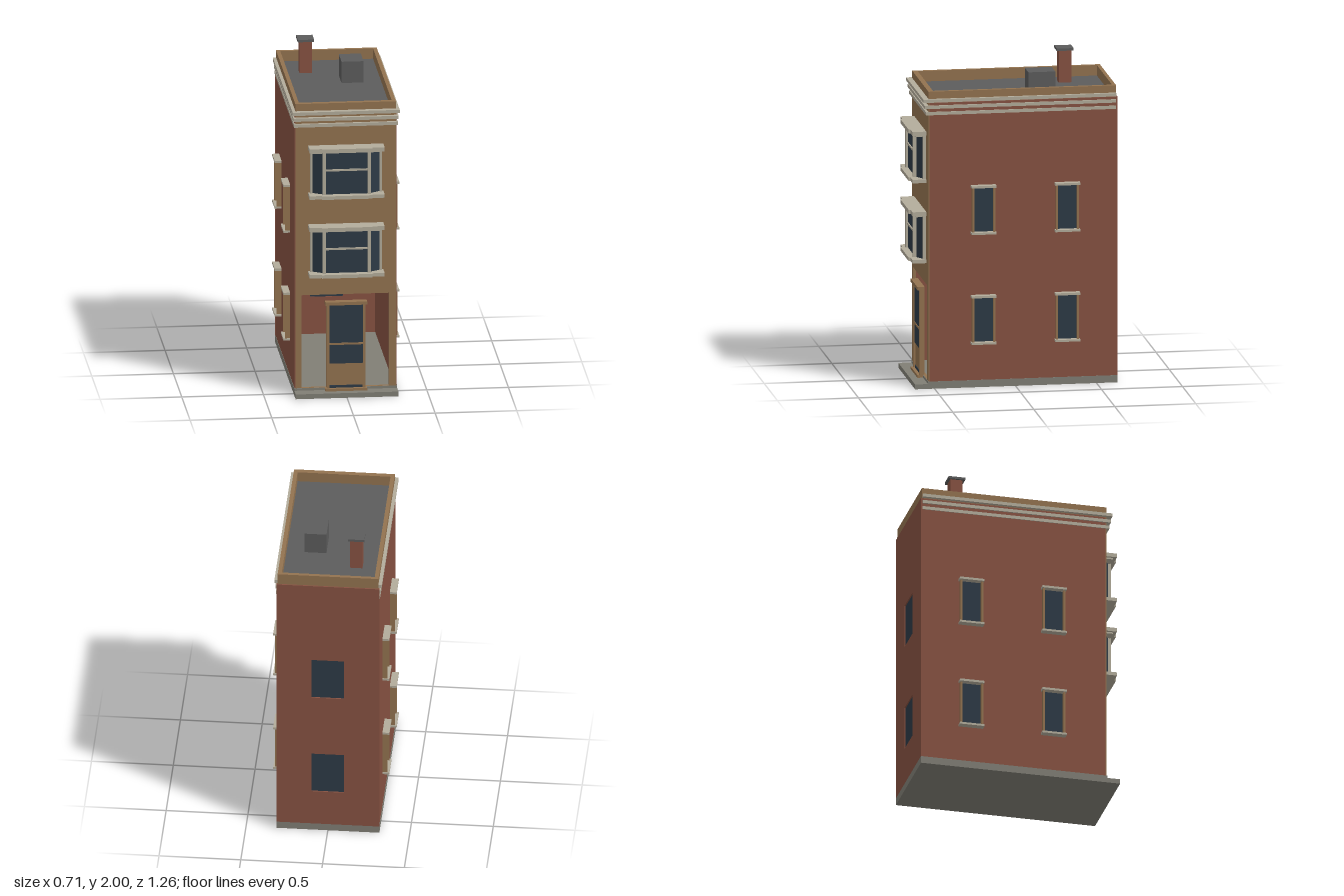
import * as THREE from 'three';

const mat = (name, color, side = THREE.FrontSide) => {
  const m = new THREE.MeshStandardMaterial({ color, side });
  m.name = name;
  return m;
};

export function createModel() {
  const brick = mat('red brick', 0x875242);
  const tan = mat('tan stone', 0x937350);
  const trim = mat('pale trim', 0xb3ac9b);
  const glass = mat('dark glass', 0x2d3a46, THREE.DoubleSide);
  const slate = mat('roof grey', 0x5c5c5c);
  const concrete = mat('concrete', 0x807e75);

  const house = new THREE.Group();
  house.name = 'townHouse';

  const group = (name, parent = house) => {
    const g = new THREE.Group();
    g.name = name;
    parent.add(g);
    return g;
  };
  // Box given by its minimum and maximum on each axis
  const box = (name, m, [x0, x1], [y0, y1], [z0, z1], parent = house) => {
    const mesh = new THREE.Mesh(new THREE.BoxGeometry(x1 - x0, y1 - y0, z1 - z0), m);
    mesh.position.set((x0 + x1) / 2, (y0 + y1) / 2, (z0 + z1) / 2);
    mesh.name = name;
    parent.add(mesh);
    return mesh;
  };
  // Upright wall with rectangular holes, each [x0, x1, y0, y1]
  const rect = (P, x0, x1, y0, y1) => {
    const p = new P();
    p.moveTo(x0, y0);
    p.lineTo(x1, y0);
    p.lineTo(x1, y1);
    p.lineTo(x0, y1);
    p.closePath();
    return p;
  };
  const wall = (name, m, outline, holes, z, depth) => {
    const shape = rect(THREE.Shape, ...outline);
    shape.holes = holes.map((h) => rect(THREE.Path, ...h));
    const geo = new THREE.ExtrudeGeometry(shape, { depth, bevelEnabled: false });
    const mesh = new THREE.Mesh(geo, m);
    mesh.position.z = z;
    mesh.name = name;
    house.add(mesh);
  };

  // Foundation and front step
  box('foundation', concrete, [-0.315, 0.315], [0, 0.045], [-0.63, 0.54]);
  box('frontStep', concrete, [-0.315, 0.315], [0, 0.03], [0.54, 0.62]);

  // Hollow shell: front wall with porch and bay openings, rear wall, side walls
  const bayBases = [0.765, 1.265];
  const floorSills = [0.28, 0.965];
  wall('frontWall', tan, [-0.307, 0.307, 0.045, 1.78],
    [[-0.27, 0.265, 0.046, 0.635], ...bayBases.map((y) => [-0.2, 0.2, y + 0.02, y + 0.29])], 0.517, 0.02);
  wall('rearWall', brick, [-0.315, 0.315, 0.045, 1.78],
    floorSills.map((y) => [-0.1, 0.1, y, y + 0.275]), -0.63, 0.02);
  for (const y of floorSills) {
    box('rearWindow', glass, [-0.1, 0.1], [y, y + 0.275], [-0.622, -0.614]);
  }
  for (const s of [-1, 1]) {
    const wide = (a, b) => (s > 0 ? [a, b] : [-b, -a]);
    box('sideWall', brick, wide(0.298, 0.313), [0.045, 1.78], [-0.612, 0.53]);

    // Side windows: projecting jambs, lintel and sill around the pane
    for (const y of floorSills) {
      for (const z of [0.2, -0.317]) {
        const w = group('sideWindow');
        box('pane', glass, wide(0.31, 0.317), [y, y + 0.285], [z - 0.06, z + 0.06], w);
        for (const t of [-1, 1]) {
          box('jamb', tan, wide(0.31, 0.343), [y, y + 0.285], [z + t * 0.065 - 0.006, z + t * 0.065 + 0.006], w);
        }
        box('lintel', trim, wide(0.31, 0.355), [y + 0.282, y + 0.296], [z - 0.077, z + 0.077], w);
        box('sill', trim, wide(0.31, 0.355), [y - 0.008, y + 0.005], [z - 0.077, z + 0.077], w);
      }
    }
  }

  // Roof and parapet
  box('roof', slate, [-0.3, 0.3], [1.76, 1.785], [-0.61, 0.52]);
  box('frontParapet', tan, [-0.308, 0.308], [1.775, 1.85], [0.505, 0.536]);
  box('rearParapet', tan, [-0.308, 0.308], [1.775, 1.85], [-0.622, -0.6]);
  for (const s of [-1, 1]) {
    box('sideParapet', tan, s > 0 ? [0.284, 0.308] : [-0.308, -0.284], [1.775, 1.85], [-0.6, 0.505]);
  }

  // Three cornice bands along the front and both sides
  [[1.705, 0.318, 0.553], [1.745, 0.322, 0.561], [1.785, 0.328, 0.57]].forEach(([y, x, z]) => {
    const c = group('cornice');
    box('frontBand', trim, [-x, x], [y, y + 0.02], [0.53, z], c);
    box('rightBand', trim, [-x, -0.3], [y, y + 0.02], [-0.62, 0.53], c);
    box('leftBand', trim, [0.3, x], [y, y + 0.02], [-0.62, 0.53], c);
  });

  // Chimney and roof hatch
  box('chimney', brick, [-0.193, -0.118], [1.78, 1.985], [-0.415, -0.338]);
  box('chimneyCap', slate, [-0.205, -0.105], [1.985, 2], [-0.428, -0.324]);
  box('roofHatch', slate, [0.04, 0.175], [1.78, 1.92], [-0.268, -0.102]);

  // Bay windows with canted side panes
  const bayShape = new THREE.Shape(
    [[-0.212, -0.53], [-0.212, -0.545], [-0.14, -0.59], [0.14, -0.59], [0.212, -0.545], [0.212, -0.53]]
      .map(([x, z]) => new THREE.Vector2(x, z)));
  const bayGeo = new THREE.ExtrudeGeometry(bayShape, { depth: 0.27, bevelEnabled: false });
  bayGeo.rotateX(-Math.PI / 2);
  for (const y of bayBases) {
    const bay = group('bayWindow');
    const panes = new THREE.Mesh(bayGeo, glass);
    panes.name = 'panes';
    panes.position.y = y + 0.02;
    bay.add(panes);
    box('sill', trim, [-0.23, 0.23], [y, y + 0.022], [0.53, 0.622], bay);
    box('sillFront', trim, [-0.155, 0.155], [y, y + 0.022], [0.622, 0.634], bay);
    box('lintel', trim, [-0.23, 0.23], [y + 0.295, y + 0.32], [0.53, 0.622], bay);
    box('lintelFront', trim, [-0.155, 0.155], [y + 0.295, y + 0.32], [0.622, 0.634], bay);
    box('head', trim, [-0.215, 0.215], [y + 0.285, y + 0.296], [0.53, 0.602], bay);
    box('middleRail', trim, [-0.13, 0.13], [y + 0.169, y + 0.181], [0.585, 0.597], bay);
    for (const s of [-1, 1]) {
      box('innerPost', trim, [s * 0.138 - 0.01, s * 0.138 + 0.01], [y + 0.02, y + 0.296], [0.58, 0.605], bay);
      box('outerPost', trim, [s * 0.212 - 0.007, s * 0.212 + 0.007], [y + 0.02, y + 0.296], [0.53, 0.557], bay);
    }
  }

  // Entrance door standing in the porch opening
  const door = group('frontDoor');
  box('doorLeaf', tan, [-0.108, 0.108], [0.045, 0.575], [0.535, 0.55], door);
  for (const z of [0.549, 0.531]) {
    box('doorGlass', glass, [-0.103, 0.103], [0.2, 0.57], [z, z + 0.005], door);
    box('kickStrip', glass, [-0.1, 0.1], [0.046, 0.062], [z, z + 0.005], door);
  }
  box('doorRail', tan, [-0.103, 0.103], [0.319, 0.331], [0.53, 0.558], door);
  for (const s of [-1, 1]) {
    box('doorPost', tan, [s * 0.111 - 0.008, s * 0.111 + 0.008], [0.045, 0.577], [0.53, 0.562], door);
  }
  box('doorLintel', tan, [-0.128, 0.128], [0.575, 0.595], [0.53, 0.575], door);
  box('threshold', tan, [-0.128, 0.128], [0.03, 0.046], [0.53, 0.575], door);

  return house;
}
